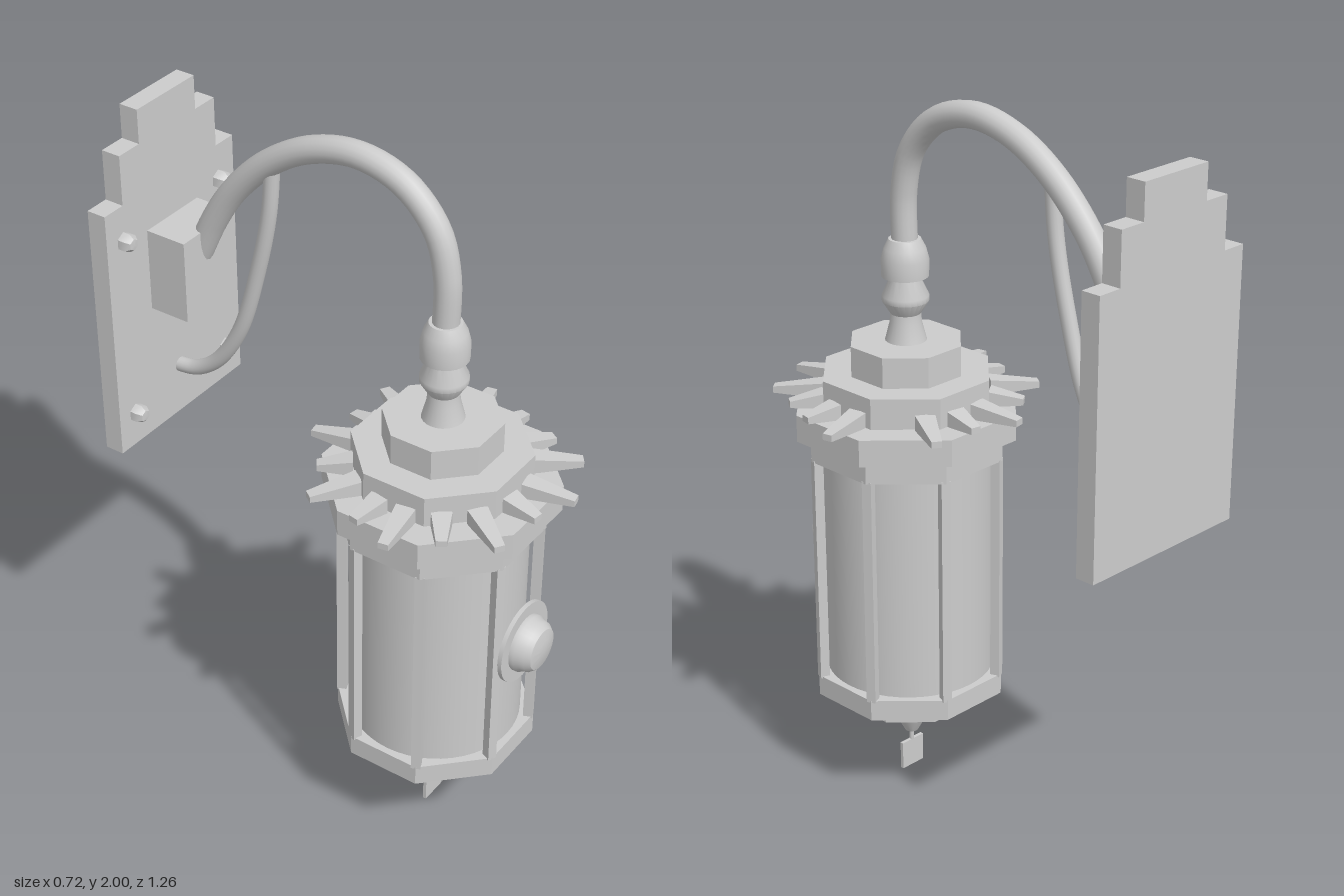
import * as THREE from 'three';
import { toCreasedNormals } from 'three/addons/utils/BufferGeometryUtils.js';

export function createModel() {
  const root = new THREE.Group();
  root.name = 'wallLantern';
  const metal = new THREE.MeshStandardMaterial({ color: 0xcccccc });
  metal.name = 'greyMetal';
  const CZ = 0.272; // lantern axis

  const add = (name, geo, x = 0, y = 0, z = 0, parent = root) => {
    const m = new THREE.Mesh(geo, metal);
    m.name = name;
    m.position.set(x, y, z);
    parent.add(m);
    return m;
  };
  const crease = (geo, angle = 0.6) => toCreasedNormals(geo, angle);
  const lathe = (pts, seg = 24) =>
    crease(new THREE.LatheGeometry(pts.map(([r, y]) => new THREE.Vector2(r, y)), seg));
  const tube = (pts, r) => new THREE.TubeGeometry(
    new THREE.CatmullRomCurve3(pts.map(([z, y]) => new THREE.Vector3(0, y, z))), 48, r, 16);

  // Stepped wall plate
  const half = [[0.26, 0.99], [0.26, 1.72], [0.19, 1.72], [0.19, 1.86], [0.113, 1.86], [0.113, 1.955]];
  const outline = [...half, ...half.map(([x, y]) => [-x, y]).reverse()];
  const plate = new THREE.Shape(outline.map(([x, y]) => new THREE.Vector2(x, y)));
  add('wallPlate', new THREE.ExtrudeGeometry(plate, { depth: 0.055, bevelEnabled: false }), 0, 0, -0.63);
  add('mountingBlock', new THREE.BoxGeometry(0.206, 0.235, 0.12), 0, 1.4875, -0.516);

  // Hexagonal bolts with rounded ends
  for (const x of [-0.195, 0.195]) for (const y of [1.09, 1.62]) {
    const bolt = add('bolt', lathe([[0.026, 0], [0.026, 0.022], [0.016, 0.036], [0, 0.038]], 6), x, y, -0.577);
    bolt.rotation.x = Math.PI / 2;
  }

  // Main arm and its lower brace
  add('mainArm', tube([[0.272, 1.56], [0.272, 1.72], [0.24, 1.835], [0.15, 1.928], [0.02, 1.965],
    [-0.12, 1.938], [-0.25, 1.862], [-0.36, 1.752], [-0.43, 1.645], [-0.49, 1.52]], 0.035));
  add('braceArm', tube([[-0.245, 1.86], [-0.26, 1.71], [-0.3, 1.53], [-0.365, 1.325],
    [-0.445, 1.2], [-0.52, 1.147], [-0.59, 1.135]], 0.021));

  // Lantern, built around its own axis
  const lantern = new THREE.Group();
  lantern.name = 'lantern';
  lantern.position.z = CZ;
  root.add(lantern);

  const tiers = [
    ['bottomStep', 0.163, 0.23, 0.29], ['bottomRing', 0.253, 0.29, 0.35],
    ['upperRing', 0.255, 1.0, 1.065], ['capBrim', 0.29, 1.065, 1.14],
    ['capMiddle', 0.219, 1.14, 1.225], ['capTop', 0.145, 1.225, 1.31],
  ];
  for (const [name, apothem, y0, y1] of tiers) {
    const r = apothem / Math.cos(Math.PI / 8);
    const geo = new THREE.CylinderGeometry(r, r, y1 - y0, 8);
    geo.rotateY(Math.PI / 8);
    add(name, crease(geo), 0, (y0 + y1) / 2, 0, lantern);
  }
  add('glassBody', new THREE.CylinderGeometry(0.234, 0.234, 0.66, 48, 1, true), 0, 0.675, 0, lantern);

  // Corner bars
  for (let i = 0; i < 8; i++) {
    const a = Math.PI / 8 + i * Math.PI / 4;
    const bar = add('cornerBar', new THREE.BoxGeometry(0.026, 0.66, 0.026),
      Math.sin(a) * 0.26, 0.675, Math.cos(a) * 0.26, lantern);
    bar.rotation.y = a;
  }

  // Alternating long and short spikes, tapering outwards
  const spike = (tip) => {
    const g = new THREE.BoxGeometry(1, 1, 1);
    const p = g.attributes.position;
    for (let i = 0; i < p.count; i++) {
      const out = p.getX(i) > 0, up = p.getY(i) > 0, side = Math.sign(p.getZ(i));
      p.setXYZ(i, out ? tip : 0.225, up ? (out ? 1.163 : 1.182) : (out ? 1.145 : 1.139), side * (out ? 0.014 : 0.027));
    }
    return g.toNonIndexed();
  };
  const longSpike = spike(0.362), shortSpike = spike(0.318);
  [longSpike, shortSpike].forEach((g) => g.computeVertexNormals());
  const longAngles = [-11.5, 52, 79, 124, 170, 214, 260, 302];
  const shortAngles = [10.5, 33, 98.5, 147, 190, 235.5, 280];
  const placeSpikes = (angles, geo) => angles.forEach((deg) => {
    add('spike', geo, 0, 0, 0, lantern).rotation.y = -THREE.MathUtils.degToRad(deg);
  });
  placeSpikes(longAngles, longSpike);
  placeSpikes(shortAngles, shortSpike);

  // Turned neck and socket above the cap
  add('neck', lathe([[0.056, 1.31], [0.043, 1.36], [0.041, 1.385], [0.063, 1.42], [0.063, 1.435],
    [0.04, 1.485], [0.04, 1.5]]), 0, 0, 0, lantern);
  add('socket', lathe([[0, 1.488], [0.063, 1.488], [0.064, 1.535], [0.056, 1.565], [0.043, 1.59], [0, 1.592]]), 0, 0, 0, lantern);

  // Bottom finial with pull tag
  add('finial', lathe([[0, 0.115], [0.019, 0.115], [0.035, 0.145], [0.053, 0.185], [0.066, 0.232]]), 0, 0, 0, lantern);
  add('tagPin', new THREE.CylinderGeometry(0.007, 0.007, 0.04, 8), 0, 0.1, 0, lantern);
  add('pullTag', new THREE.BoxGeometry(0.08, 0.083, 0.01), 0, 0.0415, 0, lantern);

  // Round knob on the front
  const knob = new THREE.Group();
  knob.name = 'frontKnob';
  knob.position.set(0, 0.697, 0);
  knob.rotation.x = Math.PI / 2;
  lantern.add(knob);
  add('knobStem', new THREE.CylinderGeometry(0.022, 0.022, 0.05, 16), 0, 0.24, 0, knob);
  add('knobDisc', crease(new THREE.CylinderGeometry(0.115, 0.115, 0.012, 32)), 0, 0.265, 0, knob);
  add('knobDome', lathe([[0.08, 0.268], [0.08, 0.284], [0.073, 0.296], [0.07, 0.31], [0.058, 0.324],
    [0.03, 0.331], [0, 0.333]], 32), 0, 0, 0, knob);

  return root;
}
